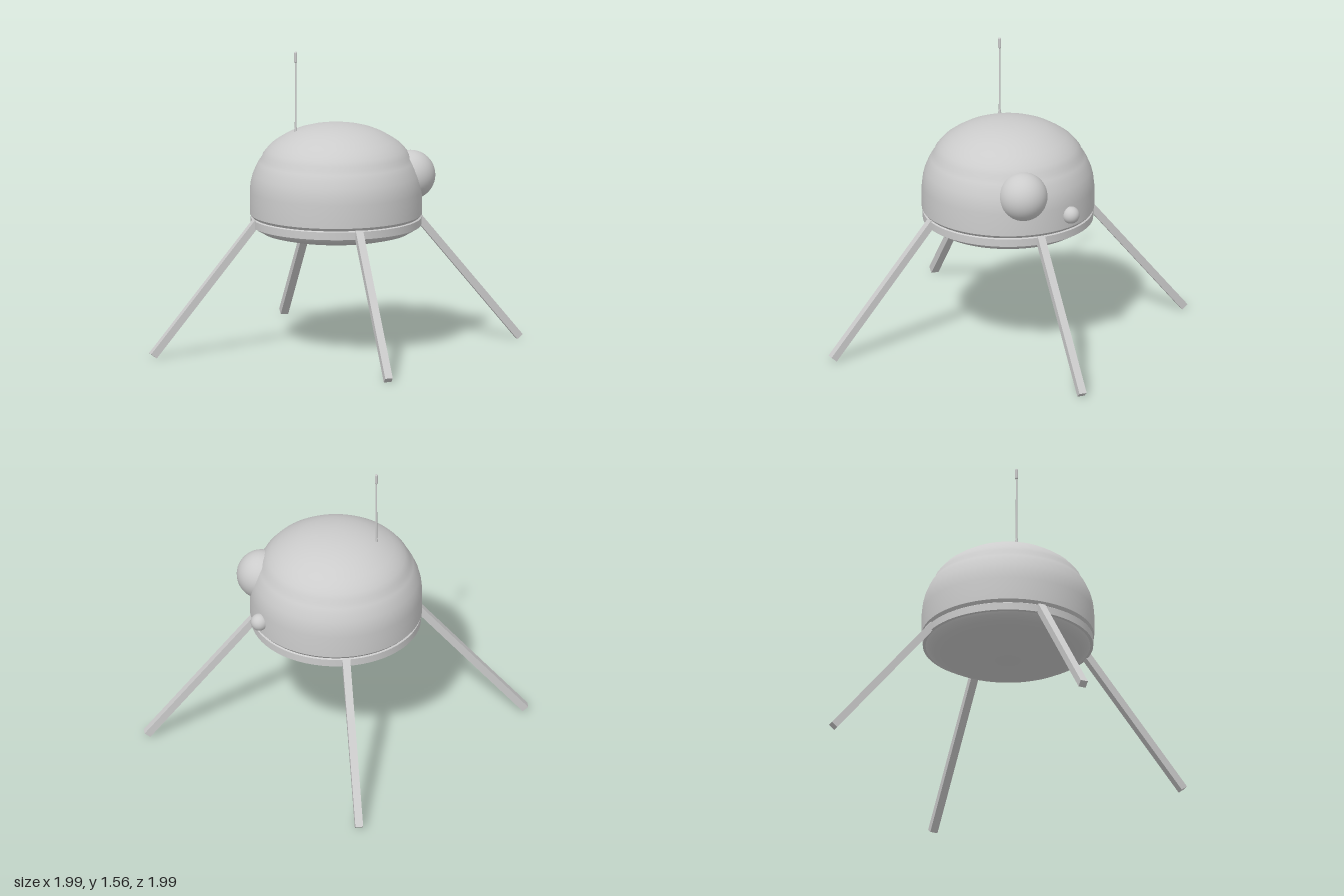
import * as THREE from 'three';
import { toCreasedNormals } from 'three/addons/utils/BufferGeometryUtils.js';

export function createModel() {
  const model = new THREE.Group();
  const material = new THREE.MeshStandardMaterial({ color: 0xcccccc, side: THREE.DoubleSide });

  function add(name, geometry, x = 0, y = 0, z = 0) {
    const mesh = new THREE.Mesh(geometry, material);
    mesh.name = name;
    mesh.position.set(x, y, z);
    model.add(mesh);
    return mesh;
  }

  function lathe(points, segments = 64) {
    const profile = points.map(([r, y]) => new THREE.Vector2(r, y));
    return toCreasedNormals(new THREE.LatheGeometry(profile, segments), 0.5);
  }

  // Smooth dome on a straight wall
  add('bodyShell', lathe([
    [0.44, 0.65], [0.44, 0.69], [0.432, 0.695], [0.445, 0.71], [0.445, 0.83], [0.44, 0.875],
    [0.43, 0.915], [0.413, 0.955], [0.4, 0.98], [0.385, 1.0], [0.378, 1.02], [0.358, 1.045],
    [0.335, 1.07], [0.3, 1.095], [0.25, 1.125], [0.2, 1.146], [0.15, 1.16], [0.1, 1.17],
    [0.05, 1.175], [0, 1.176],
  ]));

  // Shallow bowl underneath, with a thin rim
  add('underside', lathe([
    [0, 0.56], [0.06, 0.562], [0.12, 0.57], [0.18, 0.582], [0.25, 0.59], [0.32, 0.6],
    [0.38, 0.615], [0.415, 0.635], [0.425, 0.648], [0.44, 0.65],
  ]));

  // Large and small round eyes on the left side
  add('largeEye', new THREE.SphereGeometry(0.128, 40, 28), 0.378, 0.905, 0.077);
  add('smallEye', new THREE.SphereGeometry(0.045, 28, 20), 0.42, 0.78, -0.175);

  // Four splayed square legs
  const foot = new THREE.Vector2(0.982, 0.011);
  const hip = new THREE.Vector2(0.425, 0.686);
  const slope = hip.clone().sub(foot);
  const middle = hip.clone().add(foot).multiplyScalar(0.5);
  ['leftLeg', 'backLeg', 'rightLeg', 'frontLeg'].forEach((name, i) => {
    const geometry = new THREE.BoxGeometry(0.038, slope.length(), 0.04);
    geometry.rotateZ(Math.atan2(-slope.x, slope.y));
    geometry.translate(middle.x, middle.y, 0);
    add(name, geometry).rotation.y = i * Math.PI / 2;
  });

  // Thin antenna with a socket and a rounded tip
  add('antennaSocket', new THREE.CylinderGeometry(0.006, 0.01, 0.035, 16), -0.205, 1.145, -0.04);
  add('antennaRod', new THREE.CylinderGeometry(0.004, 0.005, 0.39, 12), -0.205, 1.325, -0.04);
  add('antennaTip', new THREE.CapsuleGeometry(0.008, 0.044, 6, 14), -0.205, 1.53, -0.04);

  return model;
}
